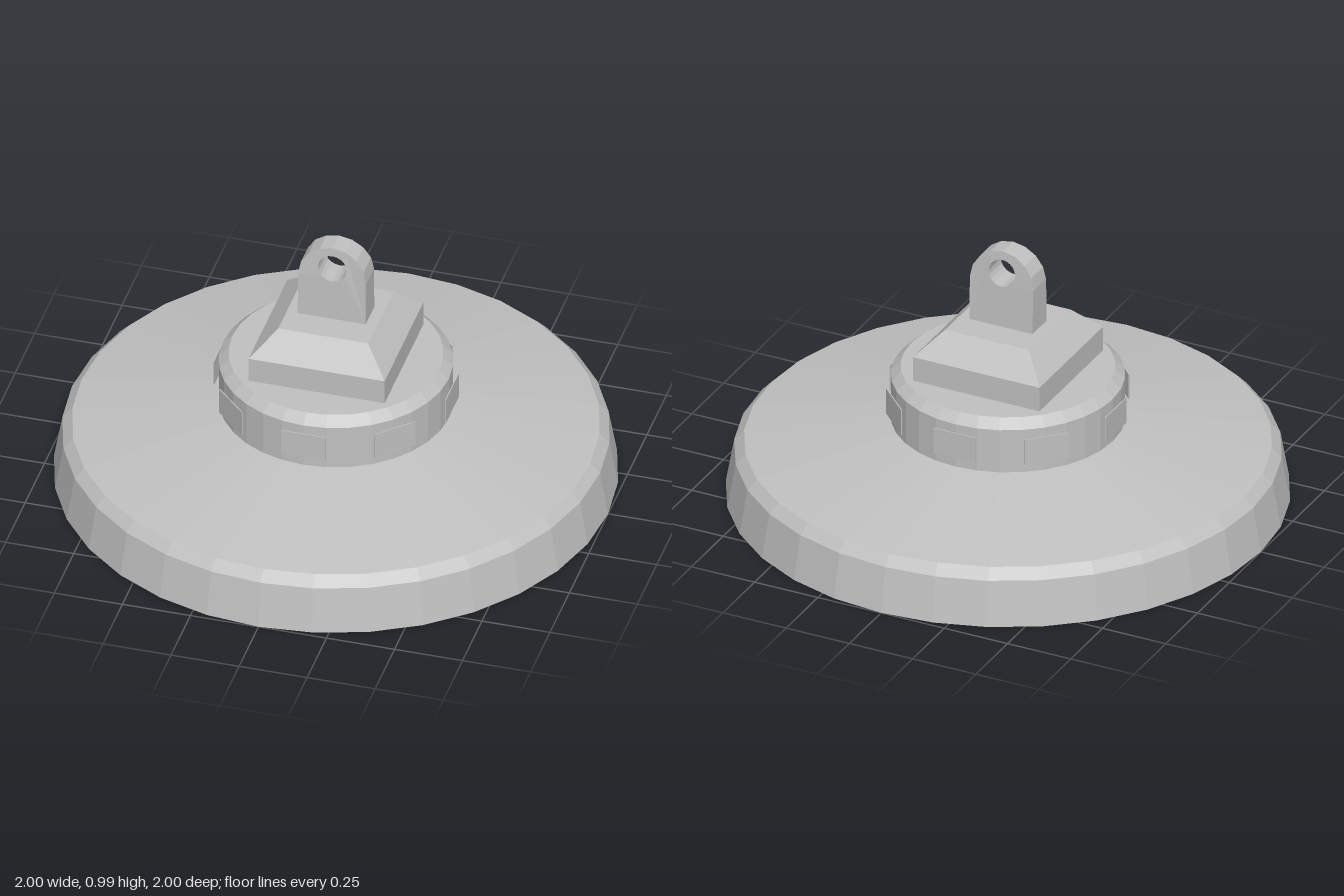
import * as THREE from 'three';

const steel = new THREE.MeshStandardMaterial({ color: 0xc0c0c0 });
steel.name = 'steel grey';

// Mesh with one normal per face
function facetedMesh(name, geometry) {
  const flat = geometry.index ? geometry.toNonIndexed() : geometry;
  flat.computeVertexNormals();
  const mesh = new THREE.Mesh(flat, steel);
  mesh.name = name;
  return mesh;
}

// Turned solid from [radius, height] pairs, listed bottom to top
function turned(name, profile, sides, start = 0) {
  const points = profile.map(([r, y]) => new THREE.Vector2(r, y));
  return facetedMesh(name, new THREE.LatheGeometry(points, sides, start));
}

// Lifting eye: round-topped plate with a hole, thinning towards the top
function liftingEye() {
  const shape = new THREE.Shape();
  shape.moveTo(-0.125, 0.69);
  shape.lineTo(0.125, 0.69);
  for (let i = 0; i <= 8; i++) {
    const a = (i / 8) * Math.PI;
    shape.lineTo(0.125 * Math.cos(a), 0.86 + 0.125 * Math.sin(a));
  }
  shape.closePath();
  const hole = new THREE.Path();
  hole.absarc(0, 0.9, 0.052, 0, Math.PI * 2, true);
  shape.holes.push(hole);
  const geometry = new THREE.ExtrudeGeometry(shape, { depth: 2, bevelEnabled: false, curveSegments: 10 });
  geometry.translate(0, 0, -1);
  const p = geometry.attributes.position;
  for (let i = 0; i < p.count; i++) {
    const y = p.getY(i);
    const half = y < 0.86 ? 0.056 - (y - 0.69) * 0.03 : 0.051 - (y - 0.86) * 0.085;
    p.setZ(i, p.getZ(i) * half);
  }
  return facetedMesh('liftingEye', geometry);
}

export function createModel() {
  const model = new THREE.Group();
  model.name = 'weightedBase';

  // Wide base disc with closed underside
  model.add(turned('baseDisc', [[0, 0], [1, 0], [0.97, 0.17], [0.935, 0.207], [0.415, 0.302]], 32));

  // Collar with chamfered rim
  model.add(turned('collar', [[0.415, 0.3], [0.415, 0.472], [0.38, 0.505], [0, 0.505]], 32));

  // Square block with sloping shoulders
  const d = Math.SQRT2;
  model.add(turned('squareBlock', [[0.25 * d, 0.505], [0.25 * d, 0.6], [0.165 * d, 0.69], [0, 0.69]], 4, Math.PI / 4));

  model.add(liftingEye());

  // Thin plates around the collar
  const plates = new THREE.Group();
  plates.name = 'collarPlates';
  for (let i = 0; i < 8; i++) {
    const a = (i * Math.PI) / 4;
    const plate = facetedMesh('collarPlate', new THREE.BoxGeometry(0.165, 0.1, 0.004));
    plate.position.set(0.426 * Math.sin(a), 0.39, 0.42 * Math.cos(a));
    plate.rotation.y = a;
    plates.add(plate);
  }
  model.add(plates);

  return model;
}
